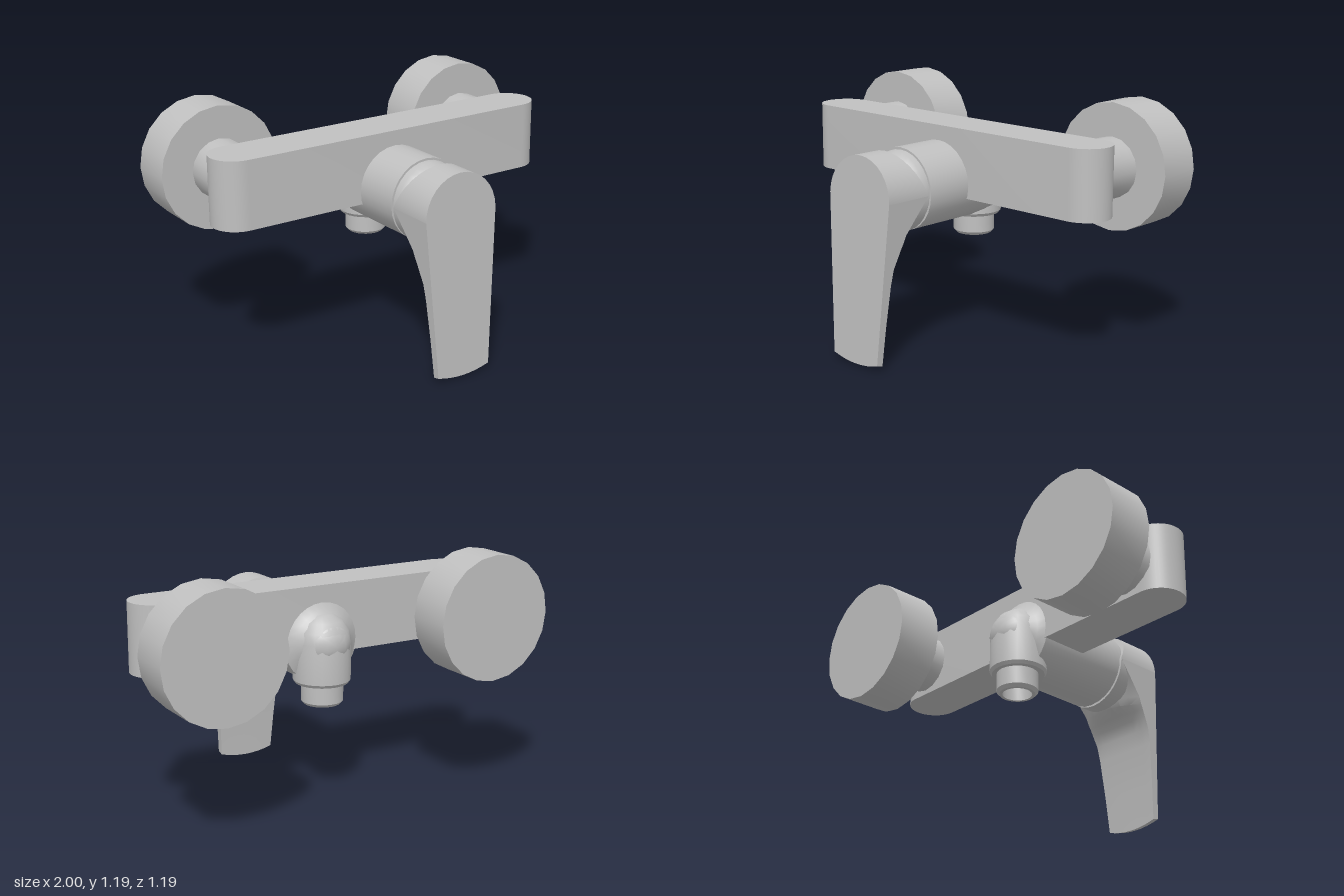
import * as THREE from 'three';
import { toCreasedNormals } from 'three/addons/utils/BufferGeometryUtils.js';

const AXIS_Y = 0.782; // height of the valve axis
const R = 0.195;      // valve radius

export function createModel() {
  const group = new THREE.Group();
  const chrome = new THREE.MeshStandardMaterial({ color: 0xc0c0c0 });
  chrome.name = 'chrome grey';

  const add = (name, geometry, crease = 0.6) => {
    const mesh = new THREE.Mesh(toCreasedNormals(geometry, crease), chrome);
    mesh.name = name;
    group.add(mesh);
    return mesh;
  };
  const lathe = (points, segments) =>
    new THREE.LatheGeometry(points.map(([r, h]) => new THREE.Vector2(r, h)), segments);
  // Cylinder lying along z
  const zCylinder = (r, z0, z1, segments) =>
    new THREE.CylinderGeometry(r, r, z1 - z0, segments).rotateX(Math.PI / 2).translate(0, 0, (z0 + z1) / 2);

  // Crossbar with round ends
  const endR = 0.1225, endX = 0.905 - endR, midZ = -0.0775;
  const bar = new THREE.Shape();
  bar.moveTo(-endX, -endR);
  bar.lineTo(endX, -endR);
  bar.absarc(endX, 0, endR, -Math.PI / 2, Math.PI / 2, false);
  bar.lineTo(-endX, endR);
  bar.absarc(-endX, 0, endR, Math.PI / 2, Math.PI * 1.5, false);
  add('crossbar', new THREE.ExtrudeGeometry(bar, { depth: 0.327, bevelEnabled: false, curveSegments: 12 })
    .rotateX(-Math.PI / 2).translate(0, 0.722, midZ));

  // Wall flanges and their connectors
  for (const side of [-1, 1]) {
    const label = side > 0 ? 'left' : 'right';
    add(label + 'Flange', zCylinder(0.3, -0.595, -0.372, 20)).position.set(side * 0.7, 0.887, 0);
    add(label + 'Connector', zCylinder(0.143, -0.38, -0.19, 16)).position.set(side * 0.7, 0.887, 0);
  }

  // Valve housing with a flared back
  add('valveHousing', lathe([
    [0, -0.338], [0.05, -0.331], [0.09, -0.305], [0.12, -0.255], [0.15, -0.218],
    [R, -0.195], [R, 0.29], [0, 0.29],
  ], 28).rotateX(Math.PI / 2)).position.y = AXIS_Y;

  // Dome cap between housing and handle
  add('valveDome', lathe([
    [0.185, 0.285], [0.183, 0.32], [0.17, 0.355], [0.145, 0.385], [0.08, 0.41], [0, 0.42],
  ], 28).rotateX(Math.PI / 2)).position.y = AXIS_Y;

  // Vertical outlet: domed elbow and open spout
  add('outletElbow', lathe([
    [0, 0.59], [0.125, 0.59], [0.136, 0.605], [0.136, 0.79], [0.126, 0.842],
    [0.096, 0.886], [0.052, 0.916], [0, 0.926],
  ], 24)).position.z = -0.2;
  add('outletSpout', lathe([
    [0, 0.57], [0.07, 0.57], [0.07, 0.488], [0.085, 0.488], [0.099, 0.503], [0.099, 0.62],
  ], 24)).position.z = -0.205;

  // Handle head: cylinder with a sloped front and an angled back cut
  const frontZ = (y) => 0.542 + (0.977 - y) * 0.051;
  const head = zCylinder(R, 0, 1, 32).translate(0, AXIS_Y, 0);
  const hp = head.attributes.position;
  for (let i = 0; i < hp.count; i++) {
    const y = hp.getY(i);
    hp.setZ(i, hp.getZ(i) > 0.5 ? frontZ(y) : 0.305 + Math.max(0, y - AXIS_Y) * 0.46);
  }
  add('handleHead', head);

  // Lever sections: height, back z at the edges, back z at the middle
  const rows = [
    [0.782, 0.306, 0.306], [0.70, 0.375, 0.33], [0.62, 0.44, 0.36], [0.585, 0.455, 0.38],
    [0.56, 0.468, 0.445], [0.53, 0.482, 0.487], [0.475, 0.508, 0.508], [0.4, 0.522, 0.522],
    [0.2, 0.543, 0.543], [0.03, 0.557, 0.557],
  ];
  const N = 9, ring = 2 * N, verts = [], index = [];
  rows.forEach(([y, edge, middle], i) => {
    const half = 0.145 + 0.05 * (y - 0.03) / 0.752;
    for (let k = 0; k < ring; k++) {
      const front = k < N;
      const u = ((front ? k : ring - 1 - k) / (N - 1)) * 2 - 1;
      const drop = i === rows.length - 1 ? 0.022 * (1 - u * u) + (front ? 0 : 0.008) : 0;
      verts.push(u * half, y - drop, front ? frontZ(y) : middle + (edge - middle) * u * u);
    }
  });
  for (let i = 0; i < rows.length - 1; i++) {
    for (let k = 0; k < ring; k++) {
      const a = i * ring + k, b = i * ring + (k + 1) % ring;
      index.push(a, a + ring, b, b, a + ring, b + ring);
    }
  }
  // Lower end of the lever
  const last = (rows.length - 1) * ring;
  for (let k = 0; k < N - 1; k++) {
    const f = last + k, b = last + ring - 1 - k;
    index.push(f, b, f + 1, f + 1, b, b - 1);
  }
  const lever = new THREE.BufferGeometry();
  lever.setAttribute('position', new THREE.Float32BufferAttribute(verts, 3));
  lever.setIndex(index);
  add('handleLever', lever, 0.7);

  return group;
}
